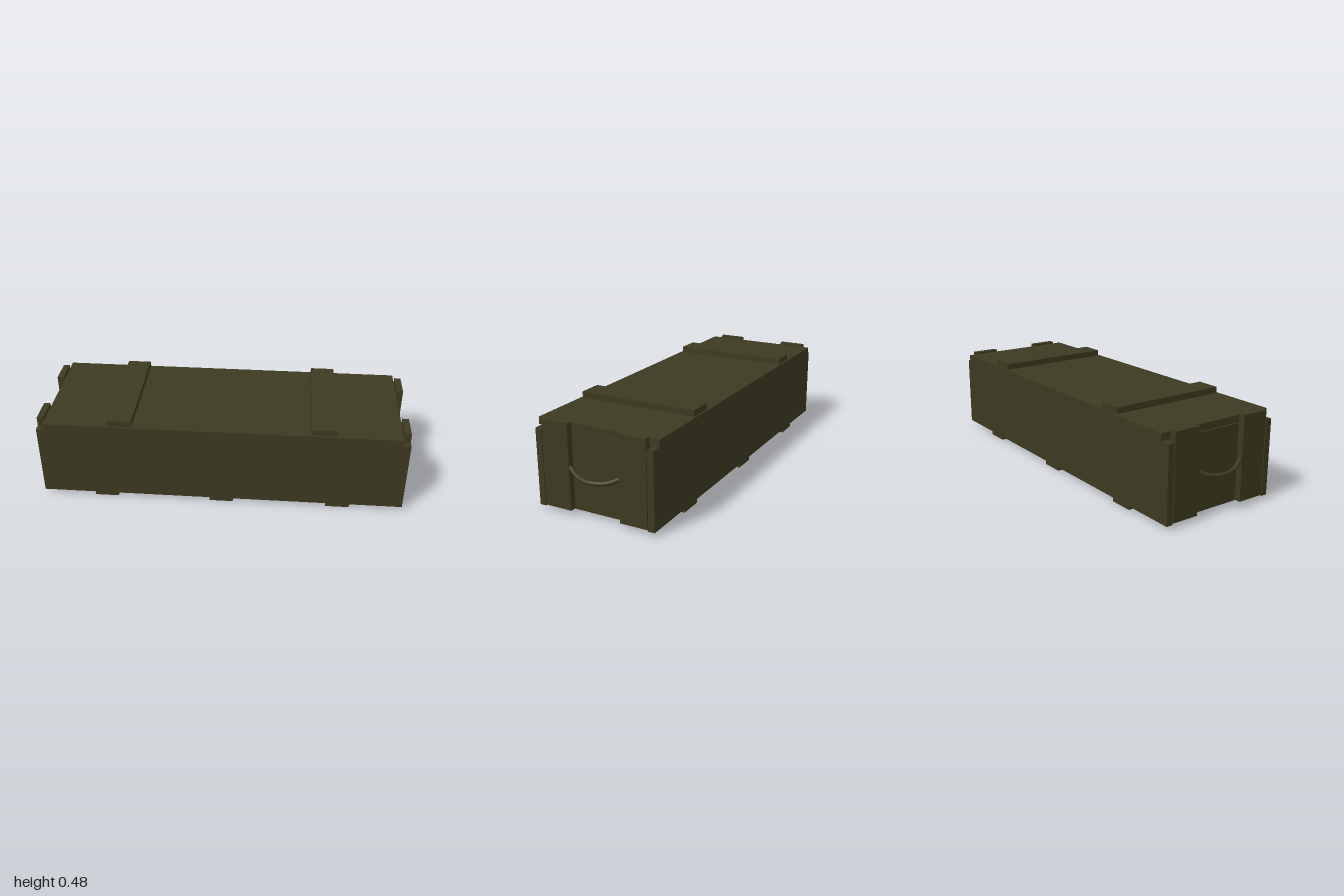
import * as THREE from 'three';

export function createModel() {
  const model = new THREE.Group();
  model.name = 'crate';
  const olive = new THREE.MeshStandardMaterial({ color: 0x3c3a21 });
  olive.name = 'olive paint';

  // Axis-aligned board from its extents on each axis
  const board = (name, [x0, x1], [y0, y1], [z0, z1]) => {
    const mesh = new THREE.Mesh(new THREE.BoxGeometry(x1 - x0, y1 - y0, z1 - z0), olive);
    mesh.position.set((x0 + x1) / 2, (y0 + y1) / 2, (z0 + z1) / 2);
    mesh.name = name;
    model.add(mesh);
  };
  // Mirrored interval on the given side
  const side = (s, a, b) => (s > 0 ? [a, b] : [-b, -a]);

  // Box body
  board('floor', [-0.92, 0.92], [0.02, 0.055], [-0.284, 0.284]);
  for (const s of [-1, 1]) {
    board(s > 0 ? 'frontPanel' : 'backPanel', [-0.96, 0.96], [0.02, 0.41], side(s, 0.284, 0.317));
    board('endPanel', side(s, 0.885, 0.922), [0.02, 0.41], [-0.284, 0.284]);
  }

  // Lid with its inner locating plate and two top battens
  board('lid', [-0.92, 0.92], [0.414, 0.45], [-0.326, 0.326]);
  board('lidInnerPlate', [-0.875, 0.875], [0.385, 0.414], [-0.278, 0.278]);
  for (const x of [-0.522, 0.522]) {
    board('lidBatten', [x - 0.063, x + 0.063], [0.45, 0.482], [-0.316, 0.316]);
  }

  // Skids underneath
  for (const x of [-0.62, 0, 0.62]) {
    board('skid', [x - 0.063, x + 0.063], [0, 0.02], [-0.316, 0.316]);
  }

  // Upright end battens and the sagging rope handles threaded through them
  for (const s of [-1, 1]) {
    for (const t of [-1, 1]) {
      board('endBatten', side(s, 0.926, 0.96), [0.026, 0.459], side(t, 0.136, 0.28));
    }
    const path = new THREE.CatmullRomCurve3([
      [0.941, 0.262, -0.19], [0.947, 0.239, -0.137], [0.972, 0.215, -0.08], [0.989, 0.208, 0],
      [0.972, 0.215, 0.08], [0.947, 0.239, 0.137], [0.941, 0.262, 0.19],
    ].map(([x, y, z]) => new THREE.Vector3(s * x, y, z)));
    const rope = new THREE.Mesh(new THREE.TubeGeometry(path, 32, 0.011, 10), olive);
    rope.name = 'ropeHandle';
    model.add(rope);
  }
  return model;
}
